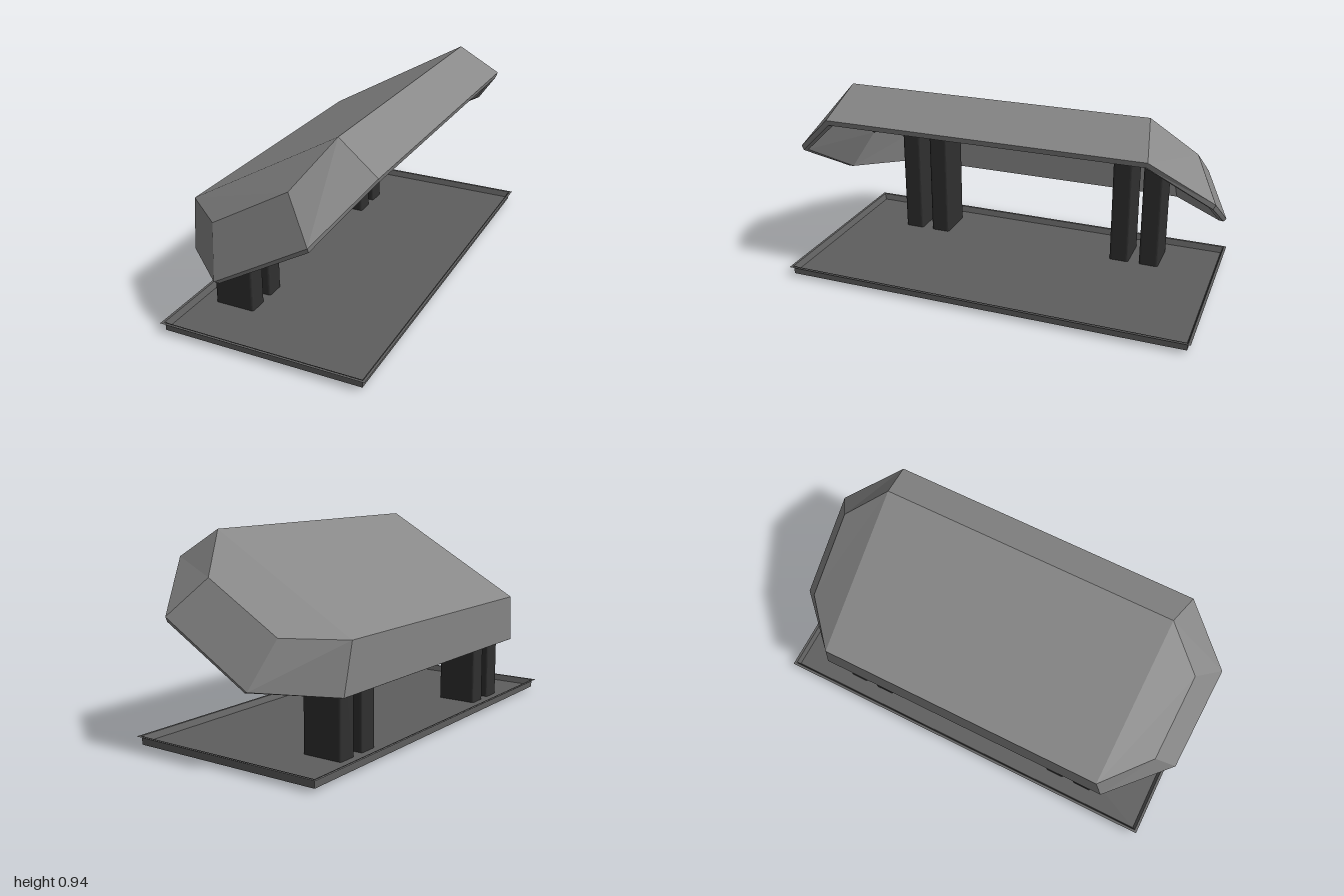
import * as THREE from 'three';

const flat = (color) => new THREE.MeshStandardMaterial({ color, flatShading: true });
const hoodColor = flat(0x888888);
const liningColor = flat(0x555555);
const trayColor = flat(0x5e5e5e);
const postColor = new THREE.MeshStandardMaterial({ color: 0x303030 });

// Builds a geometry from four-cornered faces.
function quads(faces) {
  const pos = faces.flatMap(([a, b, c, d]) => [a, b, c, a, c, d].flat());
  const geometry = new THREE.BufferGeometry();
  geometry.setAttribute('position', new THREE.Float32BufferAttribute(pos, 3));
  geometry.computeVertexNormals();
  return geometry;
}

// Faces joining a series of equal-length loops.
function walls(loops) {
  const faces = [];
  for (let k = 0; k < loops.length - 1; k++) {
    const low = loops[k], high = loops[k + 1];
    low.forEach((p, i) => {
      const j = (i + 1) % low.length;
      faces.push([p, low[j], high[j], high[i]]);
    });
  }
  return faces;
}

// Faces closing a loop, seen from above or from below.
const capUp = (loop, cap) => cap.map((q) => q.map((i) => loop[i]));
const capDown = (loop, cap) => capUp(loop, cap).map((q) => q.reverse());

// Completes a loop by mirroring its +z half.
const mirrored = (half) => [...half, ...half.slice().reverse().map(([x, y, z]) => [x, y, -z])];

// Tilted hollow hood with chamfered ends, open below.
const hoodCap = [[0, 1, 2, 3], [0, 3, 4, 7], [4, 5, 6, 7]];
const hoodLoops = [
  // cavity ceiling
  [[-0.425, 0.517, 0.68], [-0.22, 0.523, 0.87], [0.11, 0.73, 0.87], [0.23, 0.895, 0.68]],
  // inner edge of rim
  [[-0.42, 0.316, 0.72], [-0.155, 0.342, 0.97], [0.25, 0.58, 0.97], [0.41, 0.785, 0.72]],
  // lower edge of rim
  [[-0.445, 0.308, 0.735], [-0.155, 0.34, 0.99], [0.26, 0.578, 0.99], [0.425, 0.79, 0.735]],
  // outer rim
  [[-0.448, 0.31, 0.74], [-0.175, 0.347, 1], [0.26, 0.6, 1], [0.433, 0.815, 0.74]],
  // roof and upper end facets
  [[-0.46, 0.537, 0.7], [-0.24, 0.55, 0.89], [0.12, 0.76, 0.89], [0.242, 0.94, 0.7]],
].map(mirrored);

const makeHood = () => quads([...walls(hoodLoops), ...capUp(hoodLoops[4], hoodCap)]);
const makeLining = () => quads(capDown(hoodLoops[0], hoodCap));

// Shallow tray with a thin outward lip.
function makeTray() {
  const rect = (x, z, y) => mirrored([[-x, y, z], [x, y, z]]);
  const loops = [
    rect(0.472, 0.963, 0.012),
    rect(0.472, 0.963, 0.05),
    rect(0.488, 0.979, 0.05),
    rect(0.476, 0.967, 0.05),
    rect(0.464, 0.955, 0.022),
  ];
  const cap = [[0, 1, 2, 3]];
  return quads([...capDown(loops[0], cap), ...walls(loops), ...capUp(loops[4], cap)]);
}

// Post with rounded corners, its top cut to the slope of the roof.
function makePost() {
  const x0 = -0.393, x1 = -0.199, w = 0.048, r = 0.012;
  const s = new THREE.Shape();
  s.moveTo(x0 + r, -w);
  s.lineTo(x1 - r, -w).quadraticCurveTo(x1, -w, x1, -w + r);
  s.lineTo(x1, w - r).quadraticCurveTo(x1, w, x1 - r, w);
  s.lineTo(x0 + r, w).quadraticCurveTo(x0, w, x0, w - r);
  s.lineTo(x0, -w + r).quadraticCurveTo(x0, -w, x0 + r, -w);
  const g = new THREE.ExtrudeGeometry(s, { depth: 1, bevelEnabled: false, curveSegments: 4 });
  g.rotateX(-Math.PI / 2);
  const p = g.attributes.position;
  for (let i = 0; i < p.count; i++) {
    if (p.getY(i) > 0.5) p.setY(i, 0.77 + 0.571 * p.getX(i));
  }
  g.computeVertexNormals();
  return g;
}

export function createModel() {
  const model = new THREE.Group();
  const add = (geometry, material, name) => {
    const mesh = new THREE.Mesh(geometry, material);
    mesh.name = name;
    model.add(mesh);
    return mesh;
  };
  add(makeHood(), hoodColor, 'hood');
  add(makeLining(), liningColor, 'hoodLining');
  add(makeTray(), trayColor, 'baseTray');
  const post = makePost();
  for (const z of [-0.64, -0.49, 0.49, 0.64]) {
    add(post, postColor, 'supportPost').position.z = z;
  }
  return model;
}
